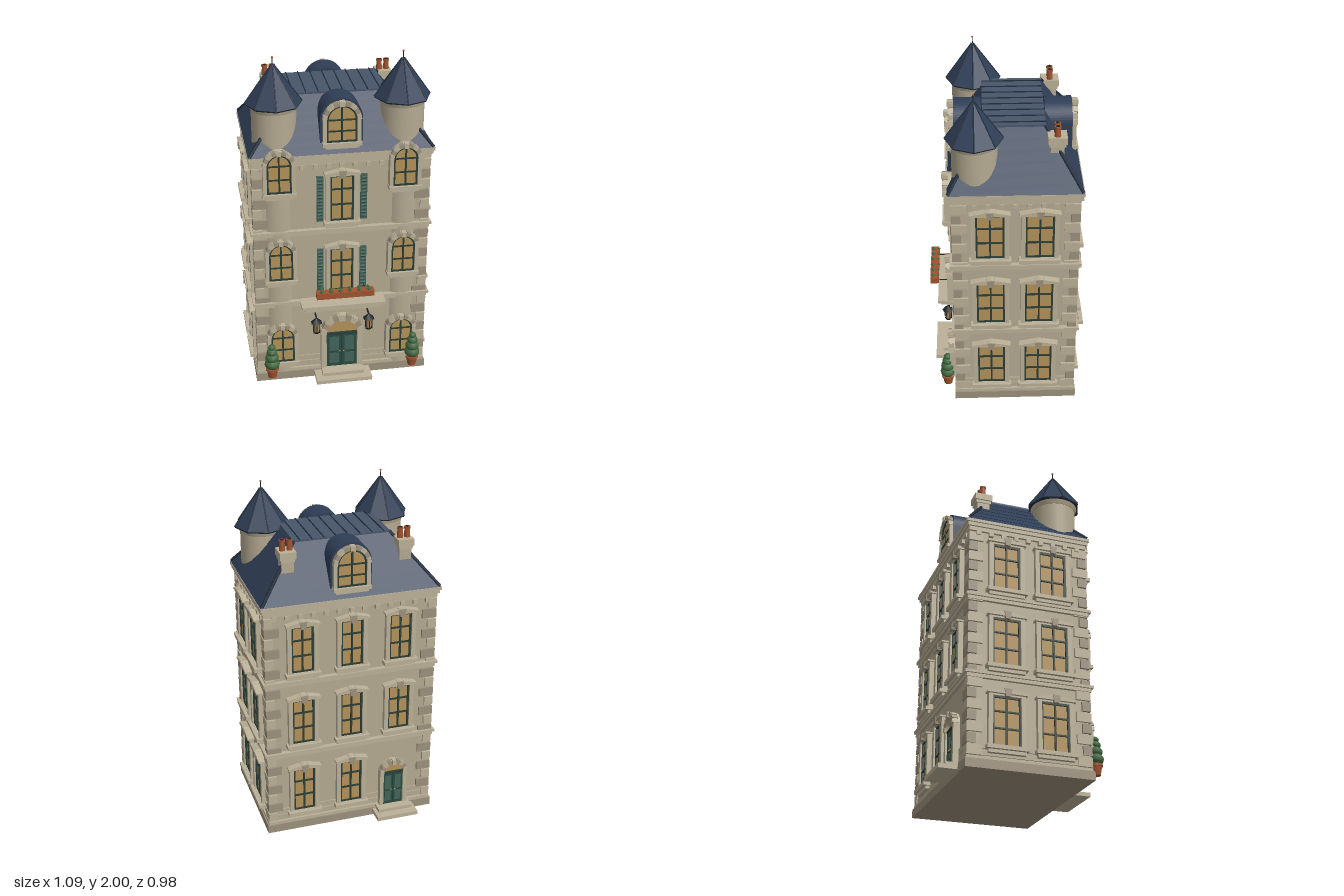
import * as THREE from 'three';

const C = {
  wall: 0xb5aa92, trim: 0xbcb198, quoin: 0x9c917d, roof: 0x2f3e56, roofTop: 0x48566a, rib: 0x222d3d,
  glass: 0xb3925a, bar: 0x2a3d37, door: 0x2a4a40, shutter: 0x43645a, clay: 0xa0532f, leaf: 0x41683f, iron: 0x1f2324,
};
const mats = {};
const mat = (k) => (mats[k] ??= new THREE.MeshStandardMaterial({ color: C[k] }));

function add(parent, name, geo, color, x = 0, y = 0, z = 0) {
  const m = new THREE.Mesh(geo, mat(color));
  m.name = name;
  m.position.set(x, y, z);
  parent.add(m);
  return m;
}
const box = (p, name, color, w, h, d, x, y, z) => add(p, name, new THREE.BoxGeometry(w, h, d), color, x, y, z);
function group(parent, name, x = 0, y = 0, z = 0, ry = 0) {
  const g = new THREE.Group();
  g.name = name;
  g.position.set(x, y, z);
  g.rotation.y = ry;
  parent.add(g);
  return g;
}
const extrude = (shape, depth) => new THREE.ExtrudeGeometry(shape, { depth, bevelEnabled: false, curveSegments: 14 });
const poly = (pts) => new THREE.Shape(pts.map(([x, y]) => new THREE.Vector2(x, y)));

// Outline with a straight lower part of height h and a round head
function archShape(r, h, y0 = 0) {
  const s = new THREE.Shape();
  s.moveTo(-r, y0);
  s.lineTo(r, y0);
  s.lineTo(r, h);
  s.absarc(0, h, r, 0, Math.PI, false);
  s.closePath();
  return s;
}
// Box whose top is scaled in to a smaller rectangle
function frustum(w0, d0, w1, d1, h) {
  const g = new THREE.BoxGeometry(w0, h, d0), p = g.attributes.position;
  for (let i = 0; i < p.count; i++)
    if (p.getY(i) > 0) p.setXYZ(i, p.getX(i) * w1 / w0, p.getY(i), p.getZ(i) * d1 / d0);
  g.computeVertexNormals();
  return g;
}

function rectWindow(parent, x, y, z, ry, w, shutters = false) {
  const h = 0.28, g = group(parent, 'window', x, y, z, ry), o = w / 2 + 0.025;
  box(g, 'glass', 'glass', w, h, 0.01, 0, h / 2, 0.004);
  const frame = poly([[-o, -0.01], [o, -0.01], [o, h + 0.018], [-o, h + 0.018]]);
  frame.holes.push(poly([[-w / 2, 0], [-w / 2, h], [w / 2, h], [w / 2, 0]]));
  add(g, 'frame', extrude(frame, 0.028), 'trim');
  for (const s of [-1, 0, 1]) box(g, 'mullion', 'bar', 0.01, h, 0.014, s * (w / 2 - 0.005), h / 2, 0.011);
  for (const t of [0.015, 0.36, 0.7, 0.985]) box(g, 'glazingBar', 'bar', w, 0.009, 0.012, 0, h * t, 0.011);
  box(g, 'sill', 'trim', w + 0.075, 0.022, 0.048, 0, -0.012, 0.024);
  box(g, 'apron', 'trim', w + 0.05, 0.018, 0.03, 0, -0.032, 0.015);
  const a = w / 2 + 0.034;
  add(g, 'pediment', extrude(poly([[-a, h + 0.01], [a, h + 0.01], [a, h + 0.02], [0, h + 0.042], [-a, h + 0.02]]), 0.042), 'trim');
  add(g, 'keystone', extrude(poly([[-0.014, h - 0.006], [0.014, h - 0.006], [0.022, h + 0.038], [-0.022, h + 0.038]]), 0.047), 'quoin');
  if (shutters) for (const s of [-1, 1]) {
    const sx = s * (w / 2 + 0.058);
    box(g, 'shutter', 'shutter', 0.038, h, 0.012, sx, h / 2, 0.01);
    for (let i = 0; i < 12; i++) box(g, 'slat', 'shutter', 0.028, 0.01, 0.008, sx, 0.02 + i * 0.0218, 0.017).rotation.x = 0.5;
  }
}

// Stone surround with wedge-like head blocks around an arched opening
function archSurround(g, r, h, t, front) {
  const ring = archShape(r + t * 0.9, h);
  ring.holes.push(archShape(r, h));
  add(g, 'surround', extrude(ring, front + 0.03), 'trim', 0, 0, -0.03);
  const n = 9, len = (r + t / 2) * Math.PI / n * 0.88;
  for (let i = 0; i < n; i++) {
    const a = (i + 0.5) / n * Math.PI, key = i === 4 ? 0.006 : 0;
    box(g, 'archBlock', i % 2 ? 'quoin' : 'trim', t + key, len, 0.034,
      Math.cos(a) * (r + t / 2), h + Math.sin(a) * (r + t / 2), front - 0.01 + key).rotation.z = a;
  }
}
function archWindow(parent, x, y, z, ry, r, h) {
  const g = group(parent, 'archedWindow', x, y, z, ry);
  add(g, 'glass', extrude(archShape(r, h), 0.012), 'glass');
  const rim = archShape(r, h);
  rim.holes.push(archShape(r - 0.01, h, 0.01));
  add(g, 'sash', extrude(rim, 0.018), 'bar');
  box(g, 'mullion', 'bar', 0.01, h + r, 0.018, 0, (h + r) / 2, 0.009);
  for (const t of [0.5, 1]) box(g, 'glazingBar', 'bar', r * 2, 0.009, 0.016, 0, h * t, 0.009);
  archSurround(g, r, h, 0.024, 0.022);
  box(g, 'sill', 'trim', r * 2 + 0.05, 0.02, 0.07, 0, -0.01, 0);
  box(g, 'apron', 'trim', r * 2 + 0.02, 0.016, 0.05, 0, -0.028, 0);
}
function archDoor(parent, name, x, y, z, ry, r, h, t) {
  const g = group(parent, name, x, y, z, ry);
  add(g, 'fanlight', extrude(archShape(r, h), 0.006), 'glass');
  for (const s of [-1, 1]) {
    box(g, 'leaf', 'door', r - 0.003, h - 0.01, 0.016, s * r / 2, (h - 0.01) / 2, 0.008);
    for (const [cy, ph] of [[0.25, 0.3], [0.68, 0.42]])
      box(g, 'panel', 'shutter', r * 0.62, h * ph, 0.004, s * r / 2, h * cy, 0.0165);
    add(g, 'knob', new THREE.SphereGeometry(0.005, 8, 6), 'glass', s * 0.012, h * 0.45, 0.02);
  }
  box(g, 'transom', 'bar', r * 2, 0.012, 0.02, 0, h - 0.004, 0.01);
  archSurround(g, r, h, t, 0.026);
}

export function createModel() {
  const root = new THREE.Group();
  root.name = 'townhouse';
  const X = 0.495, ZF = 0.325, ZB = -0.36, ZC = (ZF + ZB) / 2, W = X * 2, D = ZF - ZB;
  const band = (name, color, y0, y1, out) => box(root, name, color, W + out * 2, y1 - y0, D + out * 2, 0, (y0 + y1) / 2, ZC);

  // Walls, base, string courses and cornice
  band('plinth', 'quoin', 0, 0.05, 0.022);
  band('walls', 'wall', 0.05, 1.46, 0);
  band('baseCourse', 'trim', 0.05, 0.068, 0.014);
  for (const y of [0.075, 0.113]) band('rustication', 'wall', y, y + 0.033, 0.007);
  for (const y of [0.505, 0.968]) {
    band('stringCourse', 'trim', y, y + 0.02, 0.018);
    band('stringCourseCap', 'trim', y + 0.02, y + 0.036, 0.028);
  }
  band('frieze', 'trim', 1.405, 1.43, 0.014);
  band('cornice', 'trim', 1.43, 1.452, 0.024);
  band('corniceCap', 'trim', 1.452, 1.47, 0.032);
  for (let i = 0; i < 13; i++) for (const z of [ZF, ZB])
    box(root, 'dentil', 'trim', 0.026, 0.026, 0.04, -0.45 + i * 0.075, 1.393, z);
  for (let i = 0; i < 9; i++) for (const s of [-1, 1])
    box(root, 'dentil', 'trim', 0.04, 0.026, 0.026, s * X, 1.393, ZC - 0.3 + i * 0.075);

  // Corner stones, alternating long and short
  for (let i = 0; i < 21; i++) for (const sx of [-1, 1]) for (const [z, sz] of [[ZF, 1], [ZB, -1]]) {
    const lx = i % 2 ? 0.085 : 0.052, lz = i % 2 ? 0.052 : 0.085;
    box(root, 'quoin', i % 2 ? 'quoin' : 'trim', lx, 0.054, lz, sx * (X + 0.013 - lx / 2), 0.1 + i * 0.0635, z + sz * (0.013 - lz / 2));
  }

  // Shallow round bays, turrets and arched windows
  for (const s of [-1, 1]) {
    const x = s * 0.362, z = 0.203, b = group(root, 'bay', x, 0, z);
    const drum = (name, color, r0, r1, y0, y1, n = 32) =>
      add(b, name, new THREE.CylinderGeometry(r1, r0, y1 - y0, n), color, 0, (y0 + y1) / 2, 0);
    // bay front is limited to the part before the wall, so its sides stay inside
    drum('bayWall', 'wall', 0.145, 0.145, 0.05, 1.45, 48).scale.x = 0.88;
    drum('turretWall', 'wall', 0.126, 0.126, 1.45, 1.735);
    drum('turretCornice', 'trim', 0.13, 0.142, 1.705, 1.738);
    drum('turretEave', 'rib', 0.157, 0.16, 1.73, 1.738, 8);
    const spire = drum('spire', 'roof', 0.16, 0.006, 1.738, 1.955, 8);
    spire.geometry = spire.geometry.toNonIndexed();
    spire.geometry.computeVertexNormals();
    for (let i = 0; i < 8; i++) {
      const a = i * Math.PI / 4, dir = (r, y) => new THREE.Vector3(Math.sin(a) * r, y, Math.cos(a) * r);
      add(b, 'spireRib', new THREE.TubeGeometry(new THREE.LineCurve3(dir(0.16, 1.738), dir(0.006, 1.955)), 1, 0.004, 5), 'rib');
    }
    drum('finialRod', 'iron', 0.003, 0.002, 1.95, 1.995, 6);
    add(b, 'finialBall', new THREE.SphereGeometry(0.006, 8, 6), 'clay', 0, 1.994, 0);
    for (const y of [0.14, 0.7, 1.255]) archWindow(root, x - s * 0.005, y, 0.352, 0, 0.069, 0.165);
  }

  // Flat-headed windows on all sides
  const floors = [0.13, 0.59, 1.05];
  floors.forEach((y, f) => {
    if (f) rectWindow(root, 0, y, ZF, 0, 0.135, true);
    for (const x of [-0.29, 0, 0.29]) if (f || x >= 0) rectWindow(root, x, y, ZB, Math.PI, 0.13);
    for (const s of [-1, 1]) for (const z of [0.125, -0.152]) rectWindow(root, s * X, y, z, s * Math.PI / 2, 0.16);
  });

  // Mansard roof in stepped slate courses
  const n = 6, y0 = 1.468, y1 = 1.757, rc = -0.016;
  const w = (t) => 1.046 - 0.486 * t, d = (t) => 0.74 - 0.4 * t;
  for (let i = 0; i < n; i++) {
    const a = i / n, b = (i + 1) / n, h = (y1 - y0) / n;
    add(root, 'slateCourse', frustum(w(a) + 0.006, d(a) + 0.006, w(b), d(b), h), 'roof', 0, y0 + h * (i + 0.5), rc);
  }
  box(root, 'roofDeck', 'roofTop', 0.565, 0.01, 0.345, 0, y1 + 0.003, rc);
  for (let i = 0; i < 8; i++) box(root, 'standingSeam', 'rib', 0.005, 0.006, 0.345, -0.245 + i * 0.07, y1 + 0.01, rc);
  for (const sx of [-1, 1]) for (const sz of [-1, 1]) {
    const line = new THREE.LineCurve3(new THREE.Vector3(sx * 0.518, y0 + 0.006, rc + sz * 0.367), new THREE.Vector3(sx * 0.28, y1 + 0.004, rc + sz * 0.17));
    add(root, 'hipRidge', new THREE.TubeGeometry(line, 1, 0.01, 6), 'rib');
  }

  // Round-headed dormers, front and back
  for (const s of [1, -1]) {
    const g = group(root, 'dormer', 0, 0, rc, s > 0 ? 0 : Math.PI);
    add(g, 'dormerBarrel', extrude(archShape(0.12, 1.66, 1.49), 0.155), 'roof', 0, 0, 0.178);
    archWindow(g, 0, 1.53, 0.335, 0, 0.085, 0.13);
  }

  // Chimneys with paired pots
  for (const s of [-1, 1]) {
    const g = group(root, 'chimney', s * 0.341, 0, -0.247);
    box(g, 'stack', 'wall', 0.07, 0.2, 0.075, 0, 1.61, 0);
    box(g, 'neck', 'trim', 0.08, 0.018, 0.09, 0, 1.69, 0);
    box(g, 'cap', 'trim', 0.093, 0.04, 0.105, 0, 1.72, 0);
    for (const px of [-0.021, 0.021]) {
      add(g, 'pot', new THREE.CylinderGeometry(0.015, 0.018, 0.06, 12), 'clay', px, 1.768, 0);
      add(g, 'potRim', new THREE.CylinderGeometry(0.019, 0.019, 0.01, 12), 'clay', px, 1.795, 0);
      add(g, 'flue', new THREE.CylinderGeometry(0.011, 0.011, 0.002, 10), 'iron', px, 1.801, 0);
    }
  }

  // Doors, steps and canopy
  archDoor(root, 'frontDoor', 0, 0.065, ZF + 0.012, 0, 0.093, 0.235, 0.036);
  archDoor(root, 'backDoor', -0.265, 0.065, ZB - 0.012, Math.PI, 0.062, 0.225, 0.026);
  box(root, 'frontStep', 'trim', 0.335, 0.023, 0.14, 0, 0.033, 0.4);
  box(root, 'frontUpperStep', 'trim', 0.25, 0.022, 0.1, 0, 0.055, 0.375);
  box(root, 'backStep', 'trim', 0.255, 0.025, 0.13, -0.265, 0.033, -0.425);
  box(root, 'backUpperStep', 'trim', 0.21, 0.022, 0.085, -0.265, 0.055, -0.4);
  box(root, 'canopy', 'trim', 0.46, 0.02, 0.1, 0, 0.515, 0.375);
  box(root, 'canopyCap', 'trim', 0.495, 0.018, 0.12, 0, 0.535, 0.38);
  add(root, 'doorPediment', extrude(poly([[-0.21, 0.468], [0.21, 0.468], [0, 0.53]]), 0.05), 'trim', 0, 0, 0.32);

  // Window box with plants, carried by thin iron arms
  box(root, 'windowBox', 'clay', 0.335, 0.036, 0.05, 0, 0.637, 0.46);
  for (const s of [-1, 1]) box(root, 'boxArm', 'iron', 0.004, 0.004, 0.12, s * 0.13, 0.617, 0.385);
  for (let i = 0; i < 6; i++) for (const [z, r] of [[0.438, 0.01], [0.47, 0.016]])
    add(root, 'boxPlant', new THREE.OctahedronGeometry(r), 'leaf', -0.137 + i * 0.0548, 0.66, z);

  // Wall lanterns and clipped shrubs, mirrored about the door
  for (const s of [-1, 1]) {
    const g = group(root, 'lantern', s * 0.157, 0, 0.385);
    box(g, 'bracket', 'iron', 0.008, 0.008, 0.06, 0, 0.435, -0.03);
    add(g, 'hood', new THREE.CylinderGeometry(0.006, 0.036, 0.03, 6), 'iron', 0, 0.42, 0);
    add(g, 'lamp', new THREE.CylinderGeometry(0.022, 0.015, 0.065, 6), 'glass', 0, 0.372, 0);
    for (let i = 0; i < 6; i++) {
      const a = i * Math.PI / 3;
      box(g, 'lanternBar', 'iron', 0.005, 0.068, 0.005, Math.sin(a) * 0.02, 0.372, Math.cos(a) * 0.02);
    }
    add(g, 'lanternBase', new THREE.CylinderGeometry(0.02, 0.014, 0.012, 6), 'iron', 0, 0.338, 0);

    const t = group(root, 'topiary', s * 0.427, 0, 0.39);
    add(t, 'pot', new THREE.CylinderGeometry(0.035, 0.025, 0.055, 14), 'clay', 0, 0.084, 0);
    add(t, 'potRim', new THREE.CylinderGeometry(0.039, 0.039, 0.013, 14), 'clay', 0, 0.113, 0);
    for (const [y, r] of [[0.147, 0.046], [0.19, 0.041], [0.229, 0.032], [0.262, 0.022]])
      add(t, 'foliage', new THREE.SphereGeometry(r, 12, 8), 'leaf', 0, y, 0).scale.y = 0.8;
  }
  return root;
}
